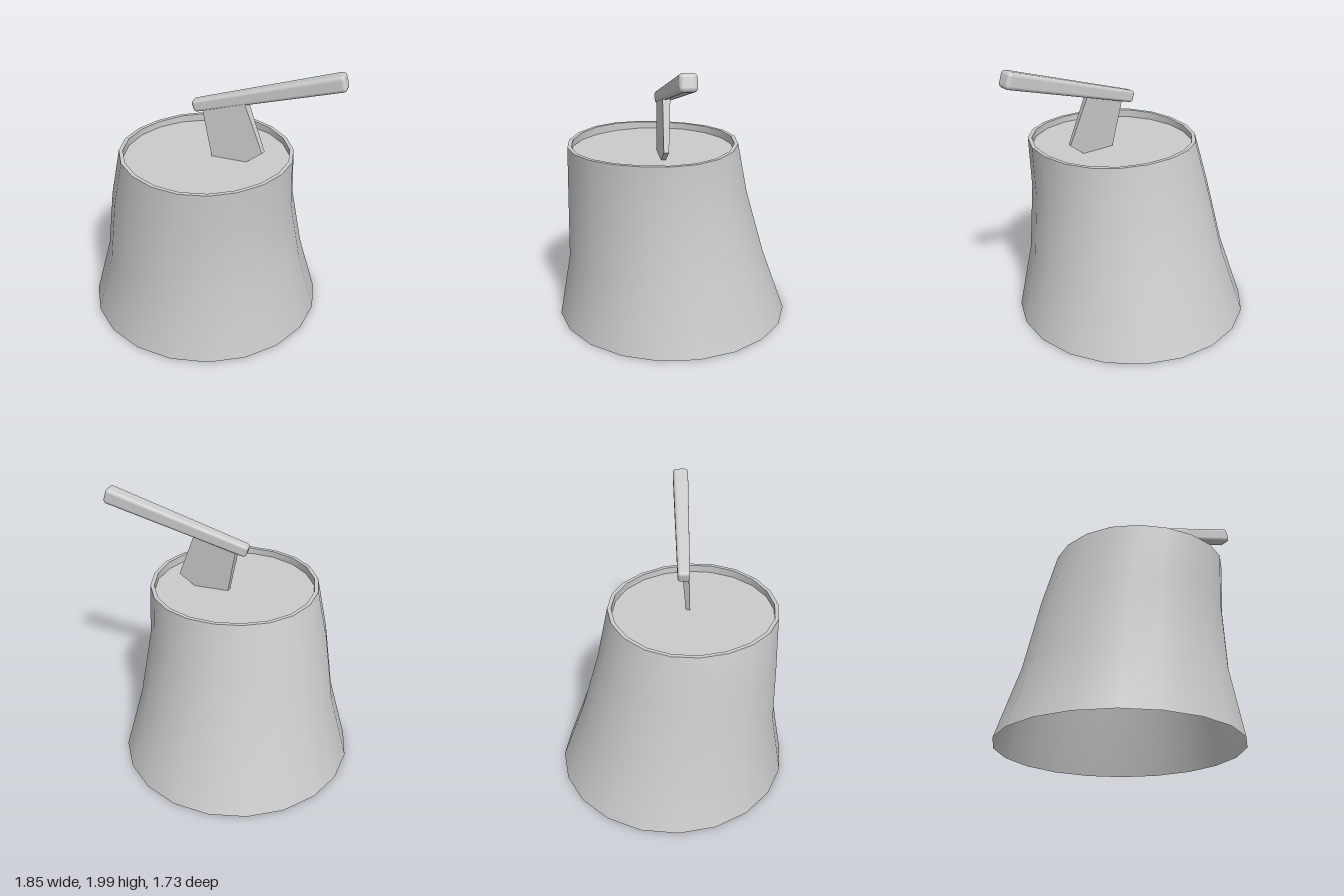
import * as THREE from 'three';
import { RoundedBoxGeometry } from 'three/addons/geometries/RoundedBoxGeometry.js';

const SIDES = 20;
const material = new THREE.MeshStandardMaterial({ color: 0xcccccc });
const openMaterial = new THREE.MeshStandardMaterial({ color: 0xcccccc, side: THREE.DoubleSide });

// Skin a series of circular rings [x, y, z, radius, wobble]
function loft(name, rings) {
  const pos = [], index = [];
  rings.forEach(([cx, cy, cz, r, wobble = 0], k) => {
    for (let i = 0; i < SIDES; i++) {
      const a = (i / SIDES) * Math.PI * 2;
      pos.push(cx + r * Math.cos(a), cy + wobble * Math.sin(3 * a + 1), cz + r * Math.sin(a));
      if (k === 0) continue;
      const j = (i + 1) % SIDES, lo = (k - 1) * SIDES, hi = k * SIDES;
      index.push(lo + i, hi + i, lo + j, lo + j, hi + i, hi + j);
    }
  });
  const geo = new THREE.BufferGeometry();
  geo.setAttribute('position', new THREE.Float32BufferAttribute(pos, 3));
  geo.setIndex(index);
  geo.computeVertexNormals();
  const mesh = new THREE.Mesh(geo, openMaterial);
  mesh.name = name;
  return mesh;
}

function makeStump() {
  const stump = new THREE.Group();
  stump.name = 'stump';
  const outer = [0.035, 1.332, 0.128, 0.613, 0.006];
  const inner = [0.035, 1.332, 0.128, 0.585, 0.006];
  const floor = [0.035, 1.28, 0.128, 0.585];
  stump.add(
    // Leaning, flared bark, open underneath
    loft('bark', [
      [-0.065, 0, 0, 0.865],
      [-0.042, 0.48, 0.042, 0.733],
      [-0.018, 0.96, 0.103, 0.658],
      outer,
    ]),
    loft('rim', [outer, inner]),
    loft('rimInside', [inner, floor]),
    loft('cutFace', [floor, [0.035, 1.28, 0.128, 0]]),
  );
  return stump;
}

// Blade: flat outline, thinner towards the cutting edge, sunk into the wood
function makeBlade() {
  const outline = [[-0.015, 1.63], [0.065, 1.25], [0.27, 1.25], [0.415, 1.365], [0.275, 1.72]];
  const shape = new THREE.Shape(outline.map(([x, y]) => new THREE.Vector2(x, y)));
  const geo = new THREE.ExtrudeGeometry(shape, { depth: 1, bevelEnabled: false });
  const p = geo.attributes.position;
  for (let i = 0; i < p.count; i++) {
    const x = p.getX(i), drop = 1.7 - p.getY(i);
    const centre = 0.073 - 0.25 * x + 0.06 * drop;
    const half = 0.026 - 0.025 * drop;
    p.setZ(i, centre + (p.getZ(i) - 0.5) * 2 * half);
  }
  geo.computeVertexNormals();
  const blade = new THREE.Mesh(geo, material);
  blade.name = 'axeBlade';
  return blade;
}

// Handle: rounded bar that thickens towards the grip end
function makeHandle() {
  const head = new THREE.Vector3(-0.095, 1.63, 0.09);
  const grip = new THREE.Vector3(0.902, 1.945, -0.195);
  const length = head.distanceTo(grip);
  const geo = new RoundedBoxGeometry(length, 0.1, 0.1, 3, 0.025);
  const p = geo.attributes.position;
  for (let i = 0; i < p.count; i++) {
    const s = 1.0 + 0.16 * (p.getX(i) / (length / 2));
    p.setY(i, p.getY(i) * s);
    p.setZ(i, p.getZ(i) * s);
  }
  const handle = new THREE.Mesh(geo, material);
  const along = grip.clone().sub(head).normalize();
  const side = along.clone().cross(new THREE.Vector3(0, 1, 0)).normalize();
  const up = side.clone().cross(along);
  handle.quaternion.setFromRotationMatrix(new THREE.Matrix4().makeBasis(along, up, side));
  handle.position.copy(head).lerp(grip, 0.5);
  handle.name = 'axeHandle';
  return handle;
}

export function createModel() {
  const model = new THREE.Group();
  model.name = 'choppingBlock';
  const axe = new THREE.Group();
  axe.name = 'axe';
  axe.add(makeBlade(), makeHandle());
  model.add(makeStump(), axe);
  return model;
}
